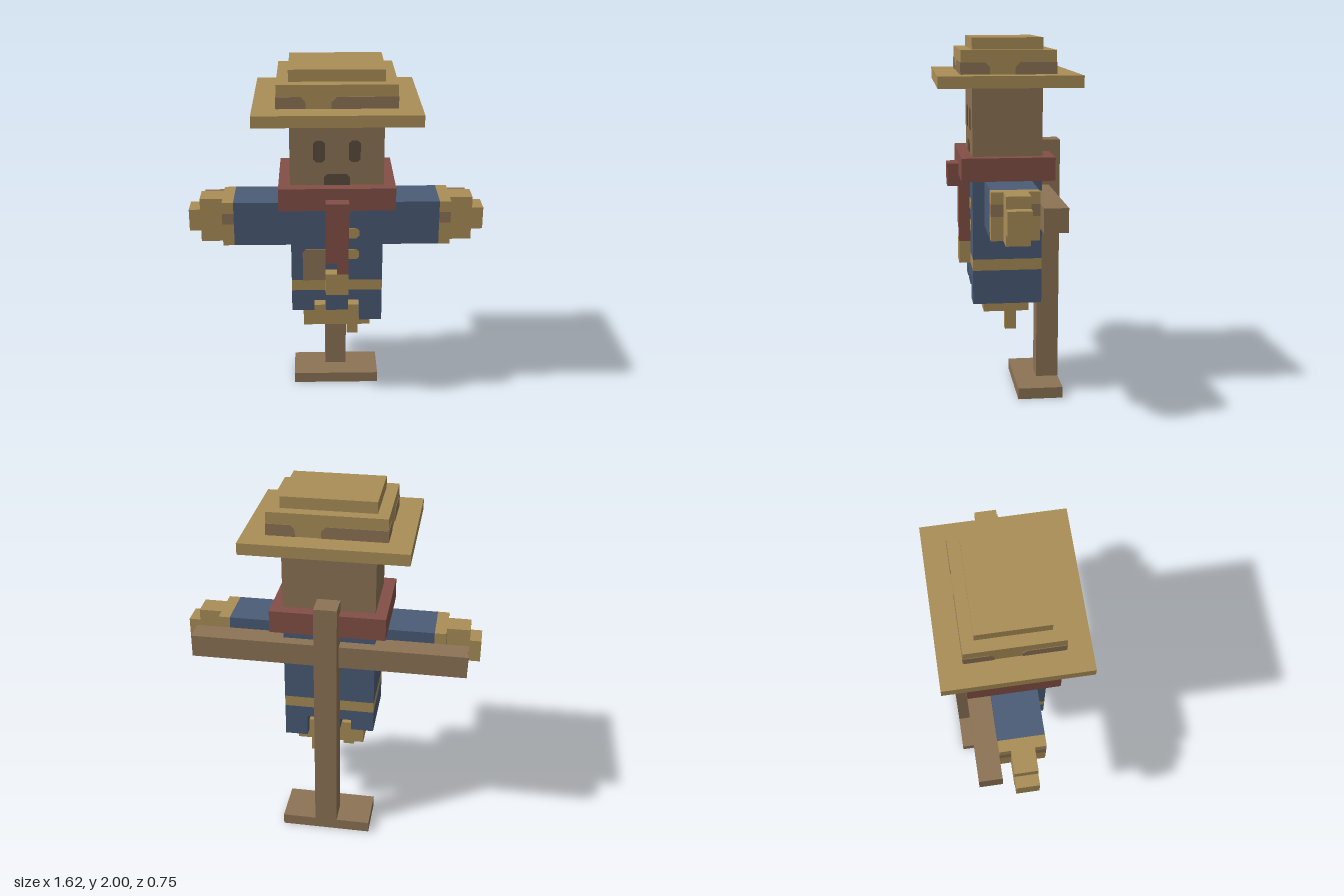
import * as THREE from 'three';

const U = 1 / 16; // block size: the model is 32 blocks tall

export function createModel() {
  const model = new THREE.Group();
  model.name = 'scarecrow';
  const material = (name, color) => {
    const m = new THREE.MeshStandardMaterial({ color });
    m.name = name;
    return m;
  };
  const straw = material('straw', 0xaa8e57);
  const wood = material('wood', 0x8c7355);
  const blue = material('blue cloth', 0x4a5c76);
  const red = material('red cloth', 0x835047);
  const dark = material('dark brown', 0x5c4b3c);

  const add = (name, geometry, mat, parent = model) => {
    const mesh = new THREE.Mesh(geometry, mat);
    mesh.name = name;
    parent.add(mesh);
    return mesh;
  };
  // Box between block coordinates
  const box = (name, mat, [x0, x1], [y0, y1], [z0, z1], parent = model) => {
    const g = new THREE.BoxGeometry((x1 - x0) * U, (y1 - y0) * U, (z1 - z0) * U);
    g.translate((x0 + x1) / 2 * U, (y0 + y1) / 2 * U, (z0 + z1) / 2 * U);
    return add(name, g, mat, parent);
  };
  const outline = (points) => new THREE.Shape(points.map(([x, y]) => new THREE.Vector2(x * U, y * U)));
  // Thin painted plate; c holds the corner cuts: bottom left, bottom right, top right, top left
  const plate = (name, mat, [x0, x1], [y0, y1], z, c = [0, 0, 0, 0], parent = model) => {
    const shape = outline([
      [x0 + c[0], y0], [x1 - c[1], y0], [x1, y0 + c[1]], [x1, y1 - c[2]],
      [x1 - c[2], y1], [x0 + c[3], y1], [x0, y1 - c[3]], [x0, y0 + c[0]],
    ].filter((p, i, all) => i === 0 || p[0] !== all[i - 1][0] || p[1] !== all[i - 1][1])
      .filter((p, i, all) => i === 0 || i < all.length - 1 || p[0] !== all[0][0] || p[1] !== all[0][1]));
    const g = new THREE.ExtrudeGeometry(shape, { depth: 0.003, bevelEnabled: false });
    g.translate(0, 0, z * U);
    return add(name, g, mat, parent);
  };

  // Wooden stand
  box('base', wood, [-4, 4], [0, 1], [-5, -1]);
  box('post', wood, [-1, 1], [1, 23], [-5, -3]);
  box('crossbar', wood, [-12, 12], [17, 19], [-4, -2]);

  // Coat with a ragged hem cut through from front to back
  const hem = new THREE.ExtrudeGeometry(outline([
    [-4, 12], [-4, 10], [-2, 10], [-2, 11], [-1, 11], [-1, 10],
    [1, 10], [1, 11], [2, 11], [2, 9], [4, 9], [4, 12],
  ]), { depth: 6 * U, bevelEnabled: false });
  hem.translate(0, 0, -3 * U);
  add('coatHem', hem, blue);
  box('belt', straw, [-4, 4], [12, 13], [-3, 3]);
  box('coat', blue, [-4, 4], [13, 20], [-3, 3]);
  plate('coatPatch', wood, [-3, -1], [13, 16], 3, [0, 0, 0, 0.3]);
  for (const y of [15, 17]) plate('button', straw, [0.95, 1.95], [y + 0.02, y + 0.98], 3, [0, 0.25, 0.25, 0]);

  // Straw below the coat
  box('strawSkirt', straw, [-3, 3], [8, 10], [-2, 2]);
  box('shortStrawTuft', straw, [-2, -1], [7, 8], [-1, 0]);
  box('longStrawTuft', straw, [1, 2], [6, 8], [-1, 0]);

  // Arms, mirrored
  for (const side of [1, -1]) {
    const arm = new THREE.Group();
    arm.name = side > 0 ? 'leftArm' : 'rightArm';
    const span = (a, b) => (side > 0 ? [a, b] : [-b, -a]);
    box('sleeve', blue, span(4, 9), [16, 20], [-2, 2], arm);
    box('cuffBottom', straw, span(9, 10), [16, 18], [-2, 2], arm);
    box('cuffBand', wood, span(9, 10), [18, 19], [-2, 2], arm);
    box('cuffTop', straw, span(9, 10), [19, 20], [-2, 2], arm);
    box('strawHand', straw, span(10, 12), [16, 20], [-1, 1], arm);
    box('strawFingers', straw, span(12, 13), [17, 19], [-1, 1], arm);
    model.add(arm);
  }

  // Head and face
  box('head', wood, [-4, 4], [22, 28], [-3, 3]);
  for (const s of [1, -1]) {
    plate('eye', dark, [s * 1.5 - 0.5, s * 1.5 + 0.5], [24.05, 25.95], 3, [0.25, 0.25, 0.25, 0.25]);
  }
  plate('mouth', dark, [-1.1, 1.1], [22, 23], 3, [0, 0, 0.3, 0.3]);

  // Scarf with a knot and a notched tail
  box('scarf', red, [-5, 5], [20, 22], [-4, 4]);
  box('scarfKnot', red, [-1, 1], [19, 21], [4, 5]);
  box('scarfTail', red, [-1, 1], [15, 20], [3, 4]);
  box('scarfTailEnd', red, [0, 1], [14, 15], [3, 4]);
  box('scarfFringe', straw, [-1, 1], [12, 14], [3, 4]);

  // Hat
  box('hatBrim', straw, [-7, 7], [28, 29], [-6, 6]);
  box('hatCrown', straw, [-5, 5], [29, 31], [-4, 4]);
  box('hatTop', straw, [-4, 4], [31, 32], [-3, 3]);

  // Worn hat band, broken once on each side
  for (let i = 0; i < 4; i++) {
    const [w, d] = i % 2 ? [4, 5] : [5, 4];
    const band = new THREE.Group();
    band.name = 'hatBand';
    band.rotation.y = i * Math.PI / 2;
    plate('bandShort', wood, [-w, -w + 2.4], [29, 30], d, [0, 0, 0.4, 0], band);
    plate('bandLong', wood, [-w + 4.55, w], [29, 30], d, [0, 0, 0, 0.4], band);
    model.add(band);
  }
  return model;
}
